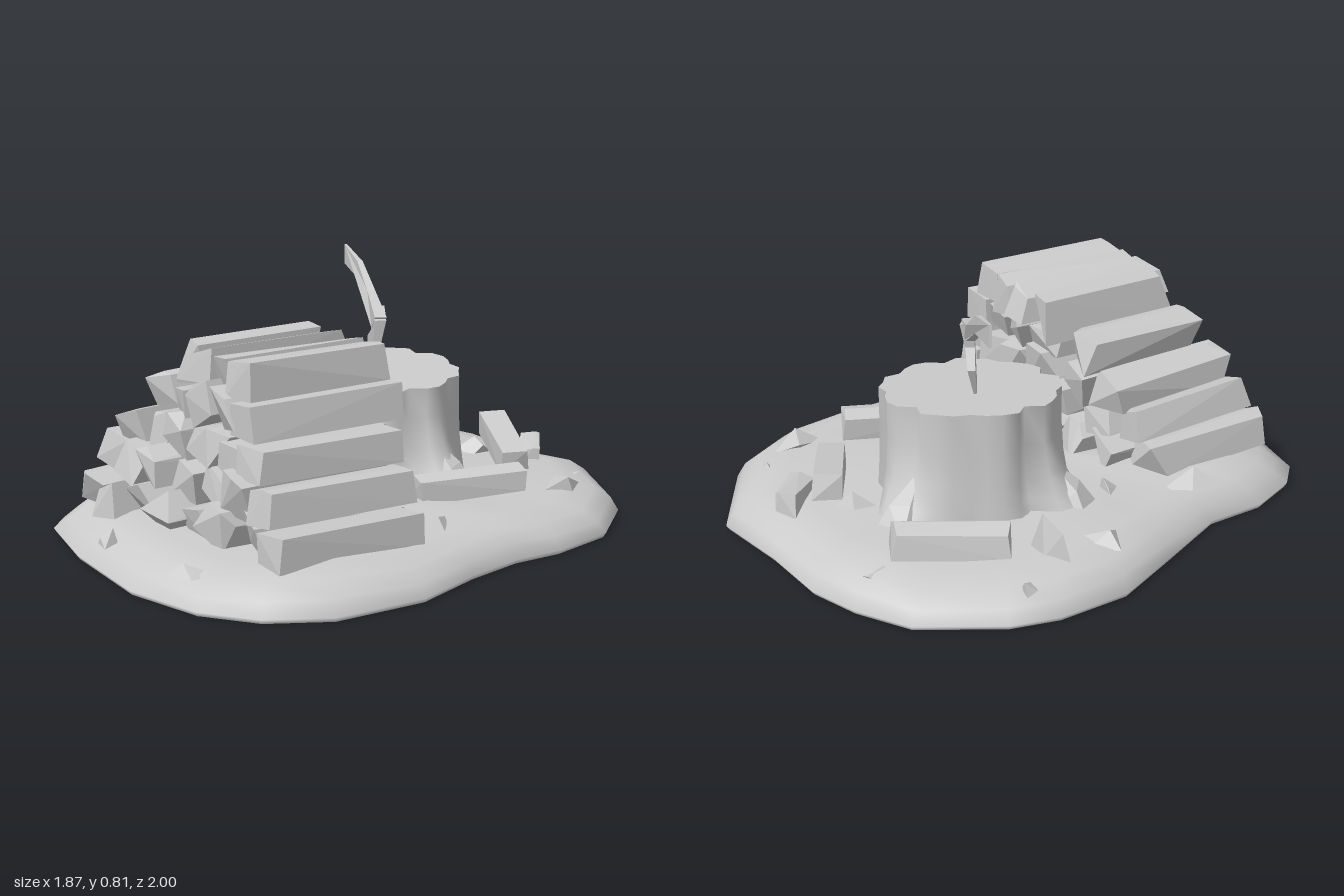
import * as THREE from 'three';
import { ConvexGeometry } from 'three/addons/geometries/ConvexGeometry.js';

const V = (x, y, z) => new THREE.Vector3(x, y, z);
let seed = 11;
const rnd = () => { seed = (seed * 16807) % 2147483647; return seed / 2147483647; };
const jit = (s) => (rnd() * 2 - 1) * s;

// Skin a list of equal-length rings, ordered from the bottom up
function loft(rings) {
  const n = rings[0].length, pos = [], idx = [];
  rings.forEach((r) => r.forEach((p) => pos.push(p.x, p.y, p.z)));
  for (let k = 0; k < rings.length - 1; k++) {
    for (let i = 0; i < n; i++) {
      const a = k * n + i, b = k * n + (i + 1) % n;
      idx.push(a, b, a + n, b, b + n, a + n);
    }
  }
  const g = new THREE.BufferGeometry();
  g.setAttribute('position', new THREE.Float32BufferAttribute(pos, 3));
  g.setIndex(idx);
  g.computeVertexNormals();
  return g;
}

// Close a ring with a flat fan
function cap(ring, up) {
  const c = ring.reduce((s, p) => s.add(p), V(0, 0, 0)).divideScalar(ring.length);
  const pos = [];
  ring.forEach((p, i) => {
    const q = ring[(i + 1) % ring.length];
    (up ? [c, p, q] : [c, q, p]).forEach((v) => pos.push(v.x, v.y, v.z));
  });
  const g = new THREE.BufferGeometry();
  g.setAttribute('position', new THREE.Float32BufferAttribute(pos, 3));
  g.computeVertexNormals();
  return g;
}

// Split log between two points with a rough four- or five-sided section
function logGeometry(a, b, w, h, rough, endRough, roll = 0) {
  const dir = b.clone().sub(a).normalize();
  const side = V(0, 1, 0).cross(dir).normalize().applyAxisAngle(dir, roll);
  const up = dir.clone().cross(side);
  const section = [[-0.5, -0.5], [0.5, -0.5], [0.5, 0.45], [-0.45, 0.5]];
  if (rnd() > 0.5) section.push([jit(0.3), 0.6]);
  const pts = [];
  section.forEach(([u, v]) => {
    const du = jit(rough), dv = jit(rough);
    [a, b].forEach((p) => pts.push(p.clone()
      .addScaledVector(side, u * w + du + jit(rough * 0.5))
      .addScaledVector(up, v * h + dv + jit(rough * 0.5))
      .addScaledVector(dir, jit(endRough))));
  });
  return new ConvexGeometry(pts);
}

export function createModel() {
  const model = new THREE.Group();
  const grey = new THREE.MeshStandardMaterial({ color: 0xcccccc });
  grey.name = 'plain grey';
  const add = (name, geometry, parent) => {
    const m = new THREE.Mesh(geometry, grey);
    m.name = name;
    parent.add(m);
  };
  const group = (name) => {
    const g = new THREE.Group();
    g.name = name;
    model.add(g);
    return g;
  };

  // Ground mound, sloping more gently on its right (-x) side
  const outline = [[0.03, -1], [0.31, -1], [0.48, -0.9], [0.61, -0.78], [0.75, -0.56], [0.92, -0.34],
    [0.93, 0.04], [0.83, 0.29], [0.65, 0.45], [0.5, 0.53], [0.34, 0.67], [0.17, 0.86], [-0.1, 1],
    [-0.31, 1], [-0.49, 0.92], [-0.68, 0.72], [-0.85, 0.37], [-0.94, 0.08], [-0.91, -0.05],
    [-0.8, -0.21], [-0.63, -0.33], [-0.47, -0.58], [-0.32, -0.81], [-0.12, -0.95]].reverse();
  const groundRings = [[0.99, 0.005], [1, 0.02], [0.97, 0.06], [0.91, 0.098], [0.8, 0.12], [0.5, 0.128], [0.01, 0.13]]
    .map(([s, y]) => outline.map(([x, z], i) => V(x * s * (x < -0.6 && y > 0.03 && s > 0.6 ? 0.975 : 1),
      y + (y > 0.05 && s > 0.4 ? 0.008 * Math.sin(i * 1.9) : 0), z * s)));
  const ground = group('ground');
  add('groundTop', loft(groundRings), ground);
  add('groundBottom', cap(groundRings[0], false), ground);

  // Chopping stump with narrow flared roots and notched rim
  const stump = group('stump');
  const roots = [0.87, 2.29, 3.6, 5.35];
  const N = 36;
  const stumpRings = [[0.1, 1], [0.17, 0.55], [0.24, 0.2], [0.34, 0], [0.45, 0]].map(([y, flare]) =>
    Array.from({ length: N }, (_, i) => {
      const t = -i / N * Math.PI * 2;
      let r = 0.29 + 0.008 * Math.sin(i * 2.3) - (i % 4 === 1 ? 0.028 : 0) + 0.01 * flare;
      roots.forEach((a) => { r += 0.12 * flare * Math.exp(-16 * (1 - Math.cos(t - a))); });
      const z = -0.25 + r * Math.sin(t);
      return V(0.14 + r * Math.cos(t), y > 0.4 ? 0.455 - (z + 0.25) * 0.06 : y, z);
    }));
  add('stumpBark', loft(stumpRings), stump);
  add('stumpTop', cap(stumpRings[4], true), stump);
  roots.forEach((a) => {
    const at = (r, y, d = 0) => V(0.14 + r * Math.cos(a + d), y, -0.25 + r * Math.sin(a + d));
    add('root', new ConvexGeometry([at(0.25, 0.27), at(0.3, 0.1, 0.28), at(0.3, 0.1, -0.28),
      at(0.43, 0.1, 0.13), at(0.43, 0.1, -0.13), at(0.38, 0.18, 0.08), at(0.36, 0.19, -0.1)]), stump);
  });

  // Axe stuck in the stump: flat profile in z and y, leaning sideways
  const axe = group('axe');
  const plate = (points, thick) => {
    const g = new THREE.ExtrudeGeometry(new THREE.Shape(points.map(([z, y]) => new THREE.Vector2(z, y))),
      { depth: 1, bevelEnabled: false });
    const p = g.attributes.position;
    for (let i = 0; i < p.count; i++) {
      const z = p.getX(i), y = p.getY(i), s = p.getZ(i) - 0.5;
      const lean = z < -0.37 ? 0.14 + (z + 0.37) * 0.19 : 0.125 + (y - 0.45) * 0.12;
      p.setXYZ(i, lean - s * thick(z, y), y, z);
    }
    g.computeVertexNormals();
    return g;
  };
  add('axeHead', plate([[-0.155, 0.64], [-0.19, 0.43], [-0.31, 0.43], [-0.36, 0.55], [-0.26, 0.59], [-0.27, 0.67]],
    (z, y) => 0.005 + Math.max(0, y - 0.43) * 0.16), axe);
  add('axeHandle', plate([[-0.16, 0.65], [-0.23, 0.6], [-0.375, 0.655], [-0.5, 0.725], [-0.69, 0.75],
    [-0.69, 0.82], [-0.51, 0.785], [-0.375, 0.705]], (z) => 0.04 + (z + 0.16) * 0.06), axe);

  // Woodpile: a runs along each log, r along the stack; rows shorten towards the top
  const pile = group('woodpile');
  const place = (r, a, y) => V(-0.23 + 0.88 * a - 0.475 * r, y, 0.88 - 0.475 * a - 0.88 * r);
  [[0, 1], [0.07, 0.97], [0.15, 0.91], [0.2, 0.83], [0.27, 0.73]].forEach(([start, end], row) => {
    const count = 8 - row;
    const step = (end - start) / count;
    const y = 0.16 + row * 0.112;
    for (let i = 0; i < count; i++) {
      const r = start + step * (i + 0.5);
      const t = r / 0.95;
      const near = i === 0;
      const a0 = t * (-0.15 + 0.045 * row) + 0.008 * row + jit(near ? 0.01 : 0.03);
      const a1 = (t < 0.6 ? 0.485 + 0.04 * t : 0.509 - (t - 0.6) * 0.45) + 0.015 * row + jit(0.02);
      const dy = near ? 0 : jit(0.01);
      add('stackedLog', logGeometry(place(r, a0, y + dy), place(r + 0.07 * t, a1, y + dy + jit(0.008)),
        step * 0.98, 0.102, near ? 0.008 : 0.018, near ? 0.012 : 0.04, near ? 0 : jit(row === 4 ? 0.12 : 0.5)), pile);
    }
  });

  // Loose logs around the stump
  const loose = group('looseLogs');
  [[V(0.03, 0.155, -0.71), V(0.37, 0.165, -0.73), 0.11, 0.08],
    [V(0.6, 0.15, -0.1), V(0.58, 0.205, -0.47), 0.1, 0.08],
    [V(0.22, 0.16, 0.215), V(0.58, 0.175, 0.135), 0.11, 0.08],
    [V(0.68, 0.125, -0.25), V(0.72, 0.14, -0.44), 0.08, 0.07]]
    .forEach(([a, b, w, h]) => add('looseLog', logGeometry(a, b, w, h, 0.008, 0.012), loose));

  // Wood chips: x, z, size, height
  const chips = group('chips');
  [[-0.1, -0.73, 0.07, 0.12], [-0.24, -0.66, 0.08, 0.04], [-0.75, 0.46, 0.06, 0.03], [0.26, 0.47, 0.07, 0.03],
    [0.73, 0.08, 0.09, 0.04], [-0.03, -0.9, 0.05, 0.02], [0.42, -0.82, 0.05, 0.02], [-0.56, -0.25, 0.09, 0.04],
    [0.5, -0.4, 0.07, 0.05], [-0.5, 0.8, 0.07, 0.02], [0.8, -0.1, 0.05, 0.03], [-0.3, -0.28, 0.07, 0.04]]
    .forEach(([x, z, s, h]) => {
      const turn = rnd() * 6;
      const y = Math.hypot(x, z) > 0.8 ? 0.085 : 0.11;
      const pts = [0, 1.6, 2.9, 4.6].map((t, i) => V(x + s * Math.cos(t + turn) * (i % 2 ? 0.5 : 1.1), y,
        z + s * Math.sin(t + turn) * (i % 2 ? 0.5 : 1.1)));
      pts.push(V(x + jit(s * 0.5), y + h + 0.01, z + jit(s * 0.5)), V(x + jit(s * 0.7), y + h * 0.7, z + jit(s * 0.7)));
      add('chip', new ConvexGeometry(pts), chips);
    });

  return model;
}
